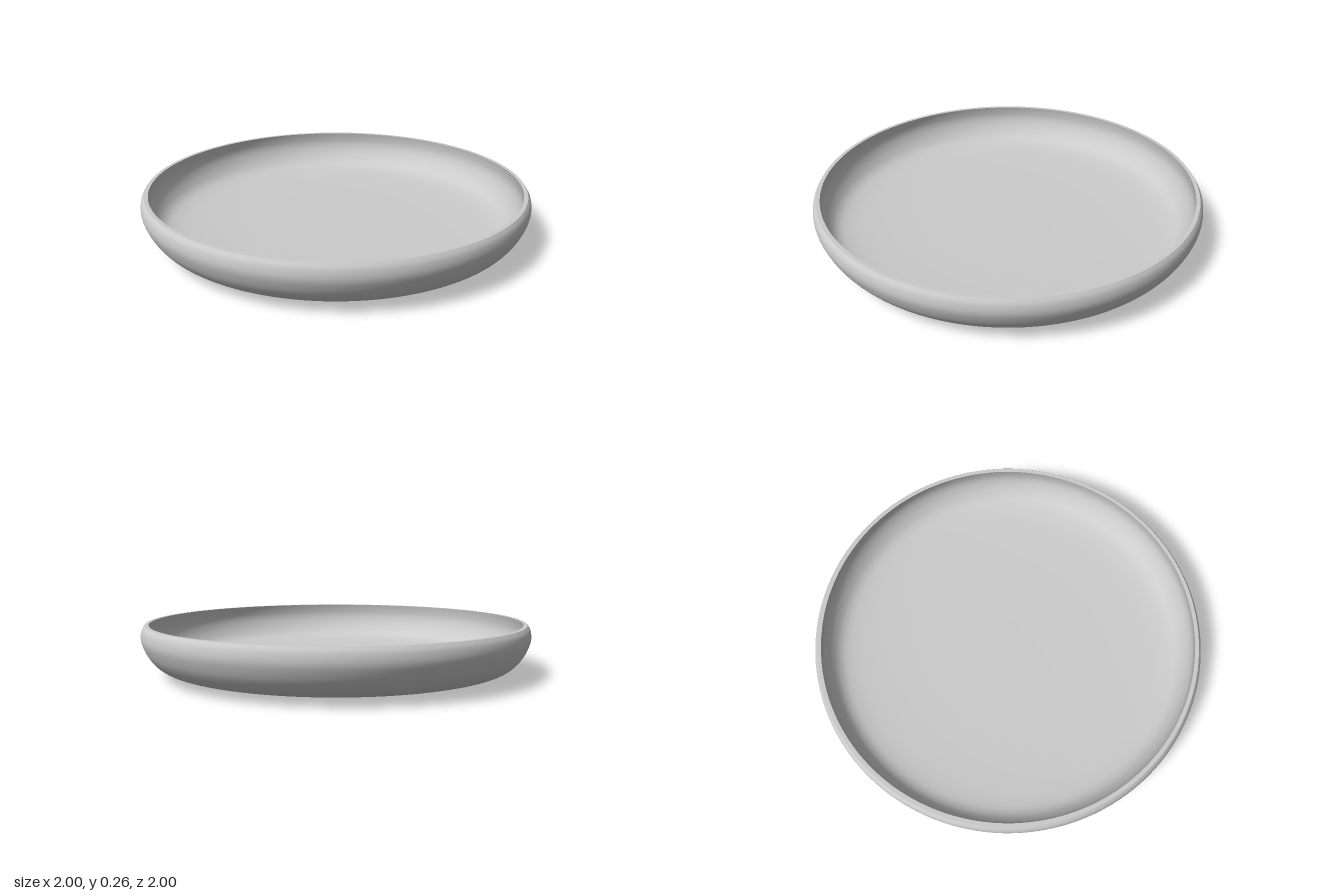
import * as THREE from 'three';

const material = new THREE.MeshStandardMaterial({ color: 0xcccccc });

// Smooth curve through [radius, height] points, turned around the y axis
function turned(name, points, steps) {
  const curve = new THREE.SplineCurve(points.map(([r, y]) => new THREE.Vector2(r, y)));
  const profile = curve.getPoints(steps);
  profile.forEach((p) => { p.x = Math.max(p.x, 0); });
  const mesh = new THREE.Mesh(new THREE.LatheGeometry(profile, 128), material);
  mesh.name = name;
  return mesh;
}

export function createModel() {
  const dish = new THREE.Group();
  dish.name = 'shallowDish';

  // Outside: nearly flat base rolling up into a bulging wall
  dish.add(turned('outerShell', [
    [0, 0.005], [0.3, 0.006], [0.55, 0.01], [0.75, 0.02], [0.87, 0.038],
    [0.925, 0.065], [0.965, 0.11], [0.99, 0.16], [1, 0.2], [0.995, 0.24], [0.98, 0.265],
  ], 60));

  // Narrow flat lip, with crisp edges against both walls
  dish.add(turned('rim', [[0.98, 0.265], [0.96, 0.265]], 1));

  // Inside: follows the outside at an even wall thickness
  dish.add(turned('innerBowl', [
    [0.96, 0.265], [0.965, 0.235], [0.966, 0.2], [0.957, 0.165], [0.935, 0.125],
    [0.9, 0.088], [0.85, 0.067], [0.75, 0.053], [0.55, 0.043], [0.3, 0.039], [0, 0.038],
  ], 60));

  return dish;
}
